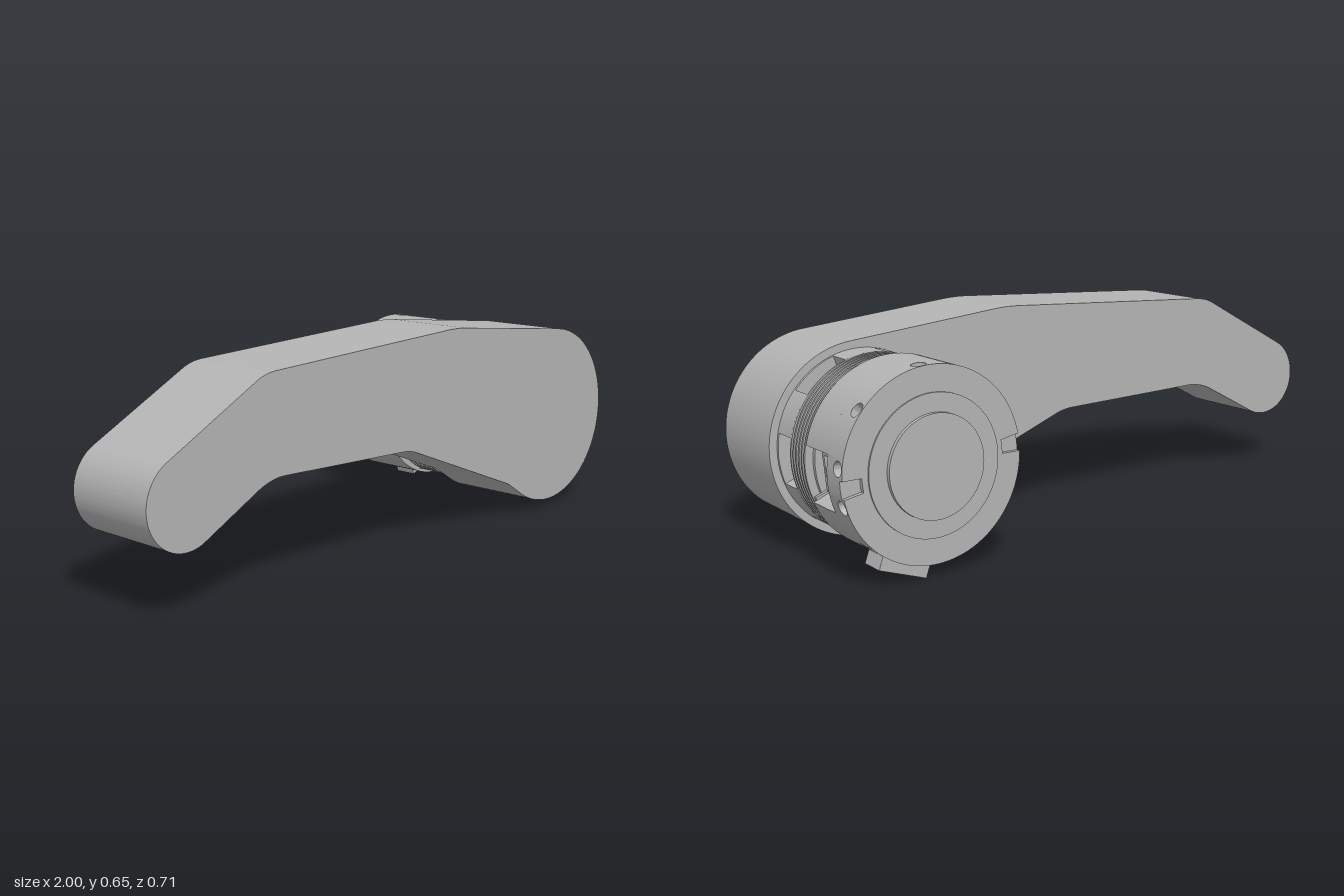
import * as THREE from 'three';
import { toCreasedNormals } from 'three/addons/utils/BufferGeometryUtils.js';

const rad = THREE.MathUtils.degToRad;

export function createModel() {
  const metal = new THREE.MeshStandardMaterial({ color: 0xb4b4b4 });
  metal.name = 'grey metal';
  const model = new THREE.Group();
  model.name = 'leverHandle';
  // the coupling is built around its own axis
  const coupling = new THREE.Group();
  coupling.name = 'coupling';
  coupling.position.set(0.715, 0.312, 0);
  model.add(coupling);

  function add(parent, name, geometry) {
    const mesh = new THREE.Mesh(geometry, metal);
    mesh.name = name;
    parent.add(mesh);
    return mesh;
  }
  function extrude(shape, depth, curveSegments) {
    return toCreasedNormals(new THREE.ExtrudeGeometry(shape, { depth, curveSegments, bevelEnabled: false }), 0.5);
  }
  // solid disc between two z values
  function disc(name, r, z0, z1) {
    const geo = new THREE.CylinderGeometry(r, r, z1 - z0, 96).rotateX(Math.PI / 2);
    return add(coupling, name, geo.translate(0, 0, (z0 + z1) / 2));
  }
  // ring segment between two radii, two angles (degrees) and two z values
  function sector(name, r0, r1, a0, a1, z0, z1) {
    const shape = new THREE.Shape();
    shape.absarc(0, 0, r1, rad(a0), rad(a1), false);
    shape.absarc(0, 0, r0, rad(a1), rad(a0), true);
    const segments = Math.max(4, Math.ceil((a1 - a0) / 3.75));
    return add(coupling, name, extrude(shape, z1 - z0, segments).translate(0, 0, z0));
  }
  // narrow ring segment with a round hole through its wall
  function holeTile(angle, half, r0, r1, z0, z1, holeZ, holeR) {
    const w = rad(half) * r1, n = 6, pts = [];
    for (let i = 0; i <= n; i++) pts.push(new THREE.Vector2(-w + (2 * w * i) / n, z0));
    for (let i = n; i >= 0; i--) pts.push(new THREE.Vector2(-w + (2 * w * i) / n, z1));
    const shape = new THREE.Shape(pts);
    shape.holes.push(new THREE.Path().absarc(0, holeZ, holeR, 0, Math.PI * 2, true));
    const geo = new THREE.ExtrudeGeometry(shape, { depth: r1 - r0, curveSegments: 20, bevelEnabled: false });
    const p = geo.attributes.position;
    for (let i = 0; i < p.count; i++) {
      const a = rad(angle) + p.getX(i) / r1, r = r0 + p.getZ(i);
      p.setXYZ(i, r * Math.cos(a), r * Math.sin(a), p.getY(i));
    }
    add(coupling, 'screwHole', toCreasedNormals(geo, 0.5));
  }
  // group turned so that its +x points outwards at an angle
  function radial(name, angle) {
    const group = new THREE.Group();
    group.name = name;
    group.rotation.z = rad(angle);
    coupling.add(group);
    return group;
  }

  // lever arm
  const arm = new THREE.Shape();
  arm.absarc(0.715, 0.312, 0.285, rad(84.3), rad(-123), true);
  arm.lineTo(0.49, 0.117);
  arm.lineTo(0.03, 0.296);
  arm.quadraticCurveTo(0.0, 0.308, -0.04, 0.309);
  arm.lineTo(-0.52, 0.324);
  arm.quadraticCurveTo(-0.57, 0.325, -0.62, 0.3);
  arm.absarc(-0.87, 0.315, 0.13, rad(-62), rad(-242), true);
  arm.lineTo(-0.62, 0.596);
  arm.quadraticCurveTo(-0.59, 0.612, -0.55, 0.614);
  arm.lineTo(0.15, 0.648);
  arm.quadraticCurveTo(0.21, 0.652, 0.27, 0.645);
  arm.closePath();
  add(model, 'leverArm', extrude(arm, 0.295, 48).translate(0, 0, 0.06));

  // neck with six windows
  disc('neckCore', 0.19, -0.03, 0.06);
  disc('neckRim', 0.262, 0.052, 0.06);
  disc('neckRim', 0.262, -0.028, -0.022);
  for (let k = 0; k < 6; k++) {
    const a = -5 + 60 * k;
    sector('neckPillar', 0.18, 0.262, a + 16, a + 44, -0.022, 0.052);
    sector('flangePillar', 0.18, 0.262, a + 16, a + 44, -0.133, -0.122);
  }

  // bellows
  disc('bellowsCore', 0.238, -0.122, -0.028);
  for (let k = 0; k < 5; k++) {
    const z = -0.041 - 0.0165 * k;
    disc('bellowsFin', 0.262, z - 0.0035, z + 0.0035);
  }

  // clamping collar, with two opposite notches
  const axis = -5.7;
  disc('collarCore', 0.205, -0.26, -0.12);
  disc('collarCore', 0.215, -0.34, -0.257);
  for (const turn of [0, 180]) {
    const a = axis + turn;
    sector('collarWall', 0.2, 0.272, a + 17, a + 163, -0.257, -0.132);
    sector('slitFloor', 0.2, 0.272, a - 5.2, a + 5.2, -0.327, -0.257);

    // framed pad inside the notch
    const pad = radial('notchPad', a);
    add(pad, 'padBase', new THREE.BoxGeometry(0.03, 0.112, 0.063).translate(0.215, 0.012, -0.211));
    for (const s of [-1, 1]) {
      add(pad, 'padRail', new THREE.BoxGeometry(0.01, 0.112, 0.01).translate(0.235, 0.012, -0.211 + s * 0.0265));
      add(pad, 'padEnd', new THREE.BoxGeometry(0.01, 0.01, 0.063).translate(0.235, 0.012 + s * 0.051, -0.211));
    }
    add(pad, 'padKey', new THREE.BoxGeometry(0.008, 0.075, 0.014).translate(0.233, 0.012, -0.211));
  }

  // collar band with screws around it
  const half = 6;
  const screws = [-11.2, 11.2, 45, 90, 135, 168.8, 191.2, 225, 270, 315];
  screws.forEach((s, i) => {
    const a = axis + s;
    holeTile(a, half, 0.21, 0.272, -0.34, -0.257, -0.315, 0.021);
    const next = i < screws.length - 1 ? screws[i + 1] : screws[0] + 360;
    if (next - s > 23) sector('collarBand', 0.21, 0.272, a + half, axis + next - half, -0.34, -0.257);
    const screw = radial('screw', a);
    add(screw, 'screwHead', new THREE.CylinderGeometry(0.015, 0.015, 0.04, 20).rotateZ(Math.PI / 2).translate(0.23, 0, -0.315));
  });

  // stepped end cap
  disc('endPlate', 0.198, -0.345, -0.34);
  disc('endCap', 0.145, -0.357, -0.345);

  // locating tab under the collar
  const tab = radial('locatingTab', -71);
  add(tab, 'tabBlock', new THREE.BoxGeometry(0.045, 0.15, 0.077).translate(0.2775, 0, -0.2925));

  return model;
}
